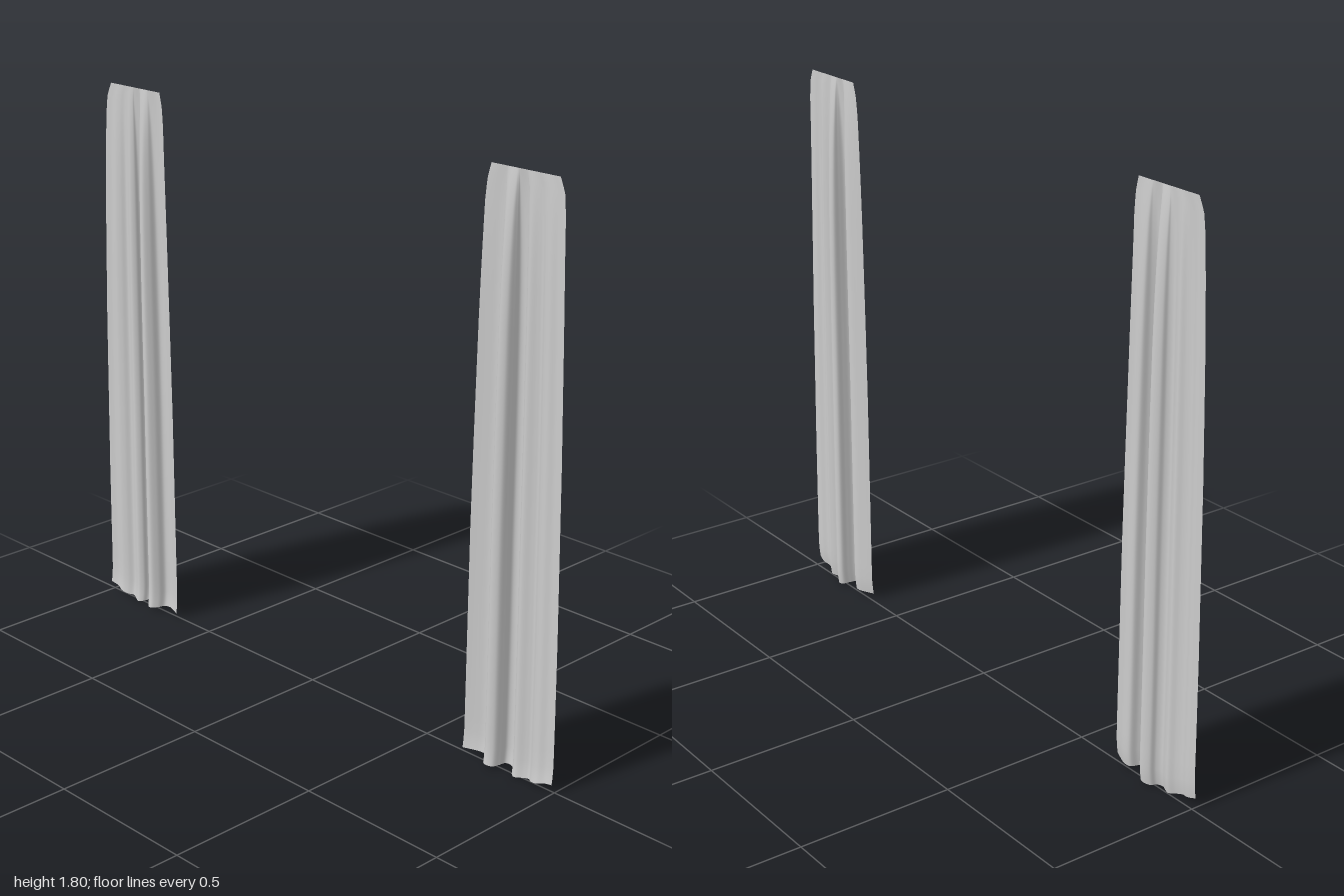
import * as THREE from 'three';

const HEIGHT = 1.8;

// Pleat line across the cloth: [x offset, z], from inner edge to outer edge
const pleats = new THREE.CatmullRomCurve3([
  [-0.006, 0.655], [0.007, 0.685], [0.016, 0.713], [0.012, 0.735], [-0.012, 0.745],
  [-0.03, 0.762], [-0.022, 0.785], [0.002, 0.793], [0.025, 0.798], [0.031, 0.812],
  [0.02, 0.835], [0.002, 0.842], [-0.008, 0.858], [0.004, 0.885], [0.008, 0.9],
  [-0.004, 0.92], [-0.01, 0.942], [-0.003, 0.97], [-0.008, 1.0],
].map(([x, z]) => new THREE.Vector3(x, 0, z)));

// Piecewise linear lookup in [key, value] pairs
function lookup(table, k) {
  for (let i = 1; i < table.length; i++) {
    const [k0, v0] = table[i - 1], [k1, v1] = table[i];
    if (k <= k1) return THREE.MathUtils.lerp(v0, v1, Math.max(0, (k - k0) / (k1 - k0)));
  }
  return table[table.length - 1][1];
}

const innerEdge = [[0, 0.655], [0.8, 0.657], [1.4, 0.667], [1.7, 0.675], [1.76, 0.681], [1.8, 0.692]];
const outerEdge = [[0, 1.0], [0.4, 0.996], [1.0, 0.983], [1.4, 0.97], [1.7, 0.957], [1.76, 0.95], [1.8, 0.932]];
const hem = [[0, 0.02], [0.3, 0.016], [0.4, 0.012], [0.58, 0.002], [0.75, 0.008], [1, 0.032]];
const rows = [0, 0.012, 0.03, 0.06, 0.12, 0.25, 0.4, 0.55, 0.65, 0.75, 0.82, 0.87, 0.91, 0.94, 0.96, 0.975, 0.985, 0.993, 1];

// Hanging cloth: deep pleats below that flatten into a straight top edge
function curtainGeometry(side) {
  const cols = 110;
  const geo = new THREE.PlaneGeometry(1, 1, cols, rows.length - 1);
  const pos = geo.attributes.position;
  const line = pleats.getPoints(cols);
  rows.forEach((v, r) => {
    line.forEach((p, c) => {
      const u = (p.z - 0.655) / 0.345;
      const y = THREE.MathUtils.lerp(lookup(hem, u), HEIGHT, v);
      const depth = 1 - Math.exp(-5 * (HEIGHT - y));
      const curl = -0.006 * Math.max(0, 1 - v / 0.04) ** 2;
      const z = THREE.MathUtils.lerp(lookup(innerEdge, y), lookup(outerEdge, y), u);
      pos.setXYZ(r * (cols + 1) + c, p.x * depth + curl, y, z * side);
    });
  });
  geo.computeVertexNormals();
  return geo;
}

export function createModel() {
  const group = new THREE.Group();
  group.name = 'curtains';
  const cloth = new THREE.MeshStandardMaterial({ color: 0xcccccc, side: THREE.DoubleSide });
  cloth.name = 'cloth grey';

  // Mirrored pair, front and back
  for (const [name, side] of [['frontCurtain', 1], ['backCurtain', -1]]) {
    const mesh = new THREE.Mesh(curtainGeometry(side), cloth);
    mesh.name = name;
    group.add(mesh);
  }
  return group;
}
